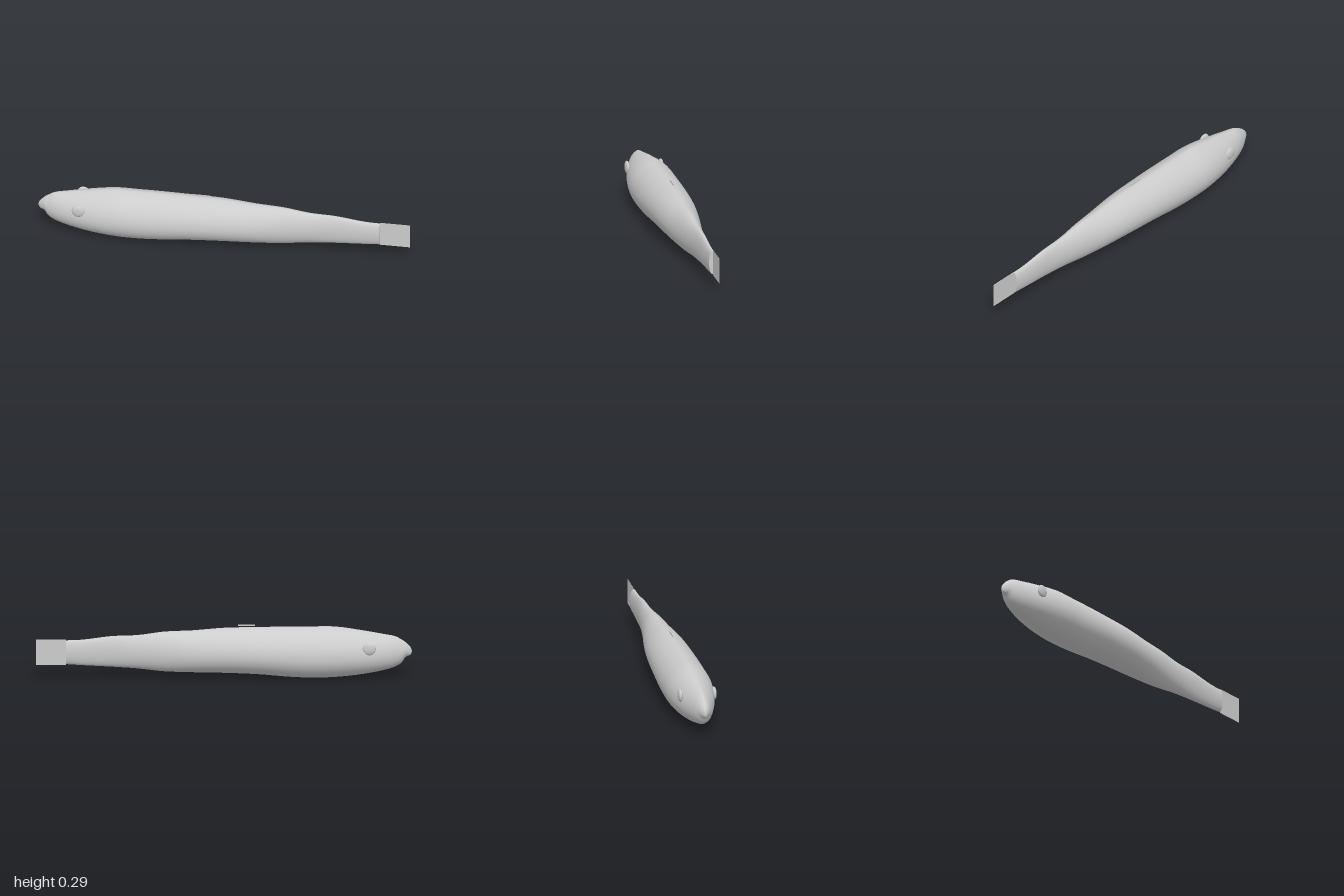
import * as THREE from 'three';

// Body stations, nose to tail: x, top y, bottom y, half width
const STATIONS = [
  [-1, 0.14, 0.138, 0], [-0.993, 0.16, 0.123, 0.008], [-0.98, 0.175, 0.115, 0.018],
  [-0.965, 0.19, 0.109, 0.028], [-0.945, 0.204, 0.08, 0.038], [-0.915, 0.221, 0.06, 0.051],
  [-0.85, 0.235, 0.04, 0.073], [-0.74, 0.255, 0.02, 0.102], [-0.59, 0.277, 0.005, 0.124],
  [-0.47, 0.278, 0.002, 0.126], [-0.355, 0.278, 0.007, 0.125], [-0.18, 0.276, 0.022, 0.119],
  [0, 0.273, 0.03, 0.108], [0.17, 0.26, 0.033, 0.088], [0.32, 0.254, 0.038, 0.063],
  [0.46, 0.236, 0.054, 0.042], [0.6, 0.231, 0.064, 0.029], [0.757, 0.212, 0.073, 0.022],
  [0.84, 0.209, 0.079, 0.021],
];
const SIDES = 48;
const STEPS = 4;

// Lofted egg-shaped sections, wide below and narrow along the back
function bodyGeometry() {
  const spline = new THREE.CubicInterpolant(
    STATIONS.map((s) => s[0]), STATIONS.flatMap((s) => s.slice(1)), 3, new Float32Array(3));
  const positions = [];
  const indices = [];
  const rings = (STATIONS.length - 1) * STEPS;
  for (let i = 0; i <= rings; i++) {
    const s = Math.min(Math.floor(i / STEPS), STATIONS.length - 2);
    const x = THREE.MathUtils.lerp(STATIONS[s][0], STATIONS[s + 1][0], i / STEPS - s);
    const [top, bottom, width] = spline.evaluate(x);
    const round = THREE.MathUtils.smoothstep(x, 0, 0.8);
    const middle = bottom + (top - bottom) * (0.45 + 0.05 * round);
    for (let j = 0; j < SIDES; j++) {
      const a = (j / SIDES) * Math.PI * 2;
      const c = Math.cos(a);
      const sn = Math.sin(a);
      const power = c > 0 ? 1.3 - 0.3 * round : 1;
      positions.push(
        x,
        middle + c * (c > 0 ? top - middle : middle - bottom),
        Math.sign(sn) * Math.pow(Math.abs(sn), power) * width);
      if (i < rings) {
        const p = i * SIDES + j;
        const q = i * SIDES + ((j + 1) % SIDES);
        indices.push(p, q, p + SIDES, q, q + SIDES, p + SIDES);
      }
    }
  }
  const geometry = new THREE.BufferGeometry();
  geometry.setAttribute('position', new THREE.Float32BufferAttribute(positions, 3));
  geometry.setIndex(indices);
  geometry.computeVertexNormals();
  return geometry;
}

export function createModel() {
  const model = new THREE.Group();
  model.name = 'fish';
  const grey = new THREE.MeshStandardMaterial({ color: 0xcccccc, side: THREE.DoubleSide });
  grey.name = 'light grey';

  const add = (name, geometry, x, y, z) => {
    const mesh = new THREE.Mesh(geometry, grey);
    mesh.name = name;
    mesh.position.set(x, y, z);
    model.add(mesh);
    return mesh;
  };

  add('body', bodyGeometry(), 0, 0, 0);

  // Flat oval closing the tail end of the body
  const cap = add('bodyEnd', new THREE.CircleGeometry(1, SIDES), 0.84, 0.144, 0);
  cap.rotation.y = Math.PI / 2;
  cap.scale.set(0.021, 0.065, 1);

  // Thin upright fins
  add('tailFin', new THREE.PlaneGeometry(0.16, 0.14), 0.92, 0.145, 0);
  add('dorsalFin', new THREE.PlaneGeometry(0.09, 0.008), -0.12, 0.287, 0);

  // Flattened eyes on both sides of the head
  for (const side of [1, -1]) {
    const eye = add(side > 0 ? 'rightEye' : 'leftEye',
      new THREE.SphereGeometry(1, 24, 16), -0.77, 0.177, side * 0.092);
    eye.scale.set(0.035, 0.035, 0.013);
  }
  return model;
}
